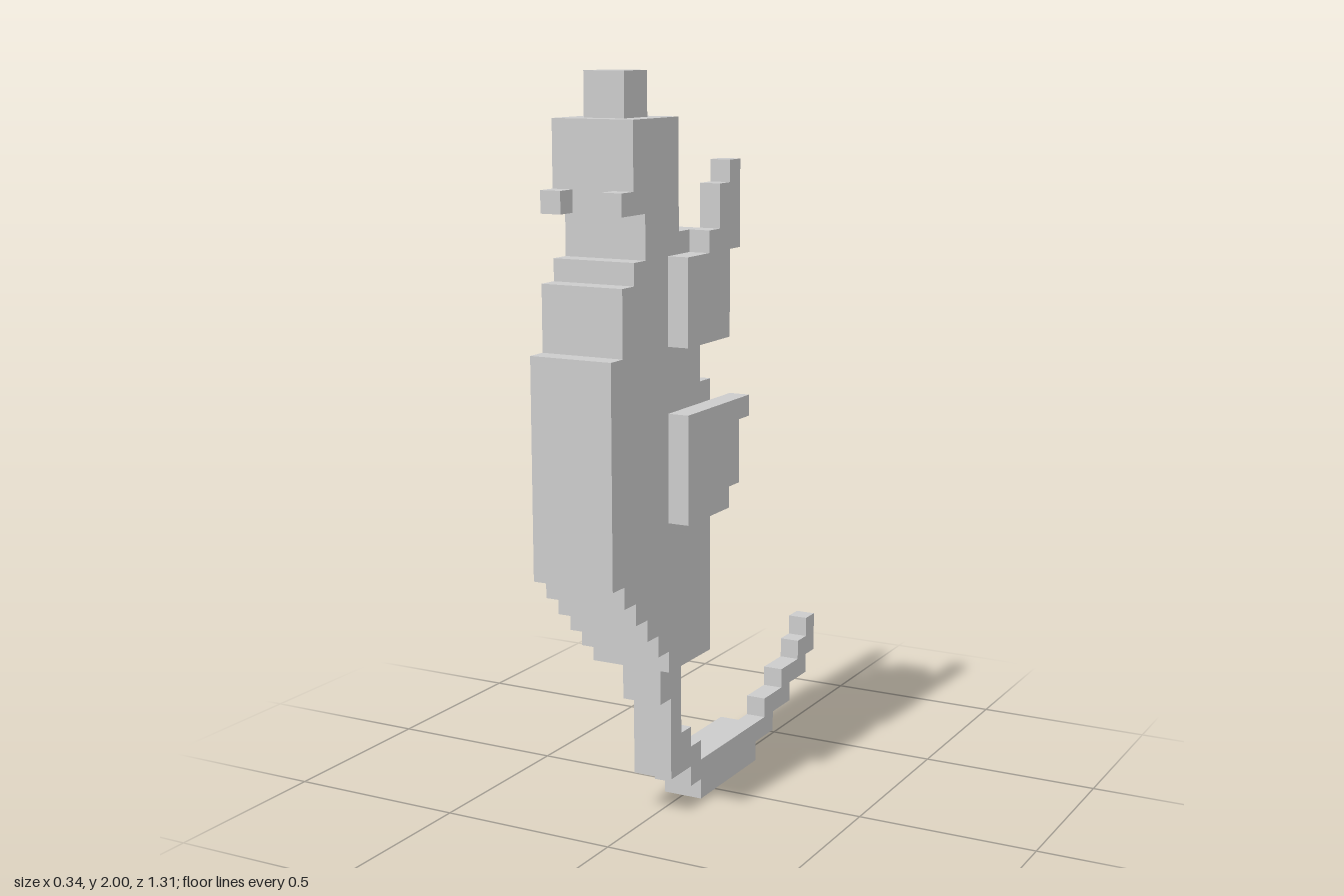
import * as THREE from 'three';

const U = 2 / 35; // size of one block
const HALF = 11.5; // half the depth in blocks

export function createModel() {
  const model = new THREE.Group();
  const material = new THREE.MeshStandardMaterial({ color: 0xcccccc, flatShading: true });

  // Extrudes a side outline between x0 and x1.
  // Points are [blocks behind the foremost face, blocks above the ground].
  function slab(name, x0, x1, points) {
    const shape = new THREE.Shape(points.map(([k, y]) => new THREE.Vector2((HALF - k) * U, y * U)));
    const geometry = new THREE.ExtrudeGeometry(shape, { depth: (x1 - x0) * U, bevelEnabled: false });
    geometry.rotateY(-Math.PI / 2).translate(x1 * U, 0, 0);
    const mesh = new THREE.Mesh(geometry, material);
    mesh.name = name;
    model.add(mesh);
  }
  const rect = (k0, k1, y0, y1) => [[k0, y0], [k1, y0], [k1, y1], [k0, y1]];

  // Torso with a stepped belly and neck
  slab('body', -2, 2, [
    [9, 8], [9, 21], [8, 21], [8, 28], [6, 28], [6, 29], [3, 29], [3, 27], [2, 27], [2, 26],
    [1, 26], [1, 23], [0, 23], [0, 13], [1, 13], [1, 12], [2, 12], [2, 11], [3, 11],
    [3, 10], [4, 10], [4, 9], [5, 9], [5, 8],
  ]);

  // Head and crown
  slab('head', -2, 2, rect(2, 6, 29, 33));
  slab('crown', -1, 1, rect(3, 5, 33, 35));

  // Eyes and upper fins, mirrored
  for (const [side, eyeX, finX] of [['left', 1, 2], ['right', -2, -3]]) {
    slab(side + 'Eye', eyeX, eyeX + 1, rect(1, 2, 29, 30));
    slab(side + 'UpperFin', finX, finX + 1, [
      [5, 23], [9, 23], [9, 27], [10, 27], [10, 31], [9, 31], [9, 30], [8, 30],
      [8, 28], [7, 28], [7, 27], [5, 27],
    ]);
  }

  // Lower fins: the right one ends in a hook
  slab('leftLowerFin', 2, 3, [
    [5, 15], [9, 15], [9, 16], [10, 16], [10, 19], [11, 19], [11, 20], [5, 20],
  ]);
  slab('rightLowerFin', -3, -2, [
    [5, 15], [9, 15], [9, 16], [10, 16], [10, 17], [11, 17], [11, 19], [12, 19], [12, 20],
    [10, 20], [10, 18], [9, 18], [9, 20], [5, 20],
  ]);

  // Tail: wide base, then a thin tip climbing in steps on the left half
  slab('tailBase', -1, 1, [
    [6, 8], [6, 6], [7, 6], [7, 2], [9, 2], [9, 1], [10, 1], [10, 0], [16, 0], [16, 2],
    [10, 2], [10, 3], [9, 3], [9, 4], [8, 4], [8, 8],
  ]);
  slab('tailTip', 0, 1, [
    [16, 1], [18, 1], [18, 2], [20, 2], [20, 3], [22, 3], [22, 4], [23, 4], [23, 6], [22, 6],
    [22, 5], [21, 5], [21, 4], [19, 4], [19, 3], [17, 3], [17, 2], [16, 2],
  ]);

  return model;
}
